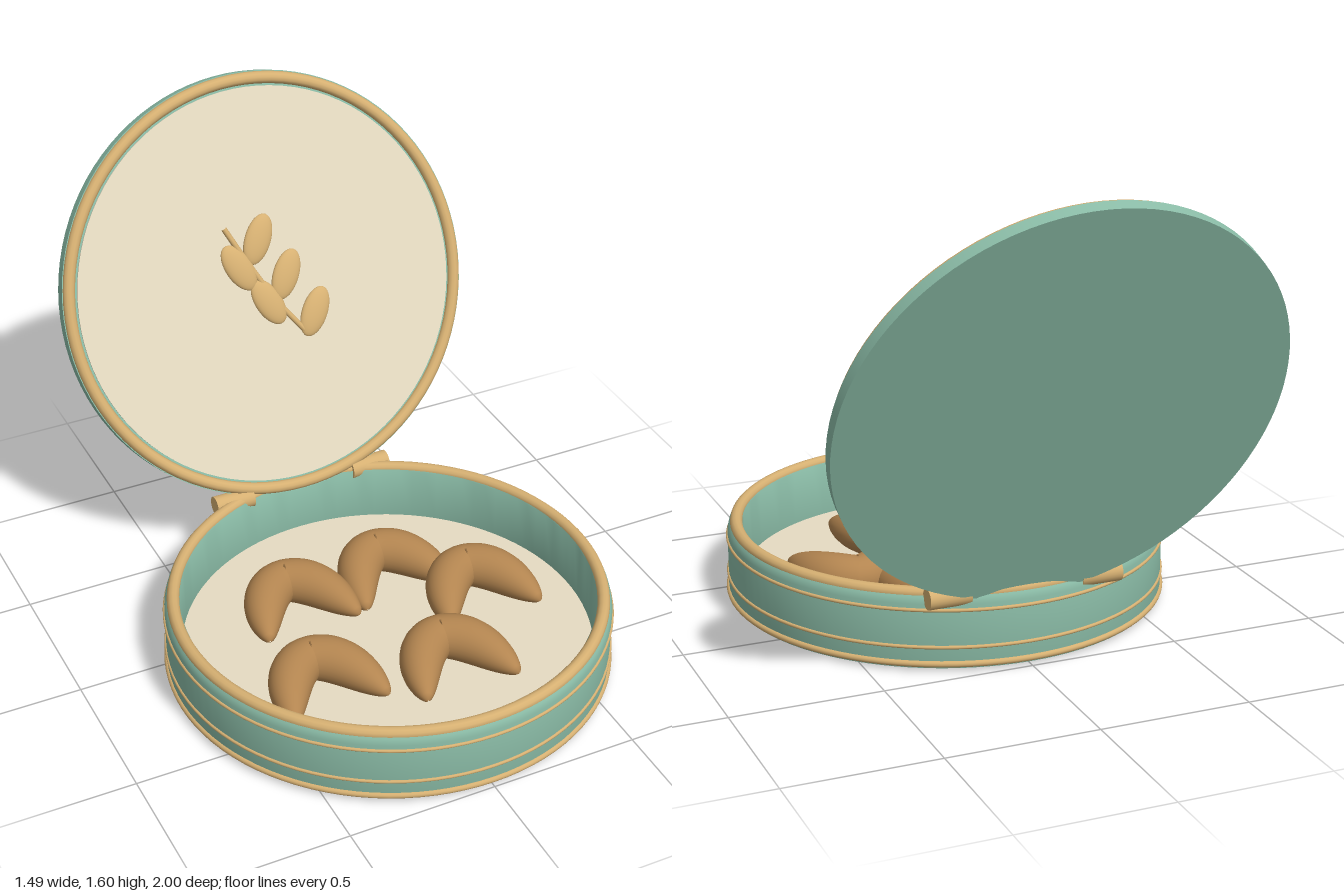
import * as THREE from 'three';
import { toCreasedNormals } from 'three/addons/utils/BufferGeometryUtils.js';
import { ParametricGeometry } from 'three/addons/geometries/ParametricGeometry.js';

const mat = (name, color) => {
  const m = new THREE.MeshStandardMaterial({ color });
  m.name = name;
  return m;
};

export function createModel() {
  const teal = mat('teal', 0x8abba6);
  const gold = mat('gold', 0xd6b072);
  const cream = mat('cream', 0xe6dbc2);
  const brown = mat('brown', 0xb38550);

  const model = new THREE.Group();
  model.name = 'cookieTin';

  const add = (parent, name, geometry, material, x = 0, y = 0, z = 0) => {
    const mesh = new THREE.Mesh(geometry, material);
    mesh.name = name;
    mesh.position.set(x, y, z);
    parent.add(mesh);
    return mesh;
  };

  // Base: hollow wall, cream liner floor, gold rim and bands
  const base = new THREE.Group();
  base.name = 'base';
  base.position.z = 0.252;
  model.add(base);

  const profile = [
    [0.69, 0.008], [0.735, 0.008], [0.738, 0.02], [0.738, 0.225], [0.733, 0.245],
    [0.722, 0.258], [0.69, 0.258], [0.685, 0.25], [0.685, 0.05], [0.69, 0.008],
  ].map(([r, y]) => new THREE.Vector2(r, y));
  add(base, 'wall', toCreasedNormals(new THREE.LatheGeometry(profile, 96), 0.7), teal);
  add(base, 'floor', new THREE.CylinderGeometry(0.688, 0.688, 0.06, 96), cream, 0, 0.03);

  const bands = [
    ['topRim', 0.708, 0.021, 0.252],
    ['upperBand', 0.738, 0.006, 0.205],
    ['lowerBand', 0.738, 0.006, 0.08],
    ['footBand', 0.736, 0.011, 0.023],
  ];
  for (const [name, radius, tube, y] of bands) {
    add(base, name, new THREE.TorusGeometry(radius, tube, 12, 96), gold, 0, y).rotation.x = Math.PI / 2;
  }

  // Hinge barrels
  for (const side of [-1, 1]) {
    add(model, side > 0 ? 'leftHinge' : 'rightHinge',
      new THREE.CylinderGeometry(0.035, 0.035, 0.14, 24), gold, side * 0.26, 0.25, -0.43)
      .rotation.z = Math.PI / 2;
  }

  // Lid, leaning back; its inner face looks along local +z
  const lid = new THREE.Group();
  lid.name = 'lid';
  lid.position.set(0, 0.917, -0.688);
  lid.rotation.x = -THREE.MathUtils.degToRad(22);
  model.add(lid);

  const disc = (r, h) => new THREE.CylinderGeometry(r, r, h, 96).rotateX(Math.PI / 2);
  add(lid, 'lidShell', disc(0.734, 0.042), teal, 0, 0, -0.021);
  add(lid, 'lidLining', disc(0.682, 0.008), cream, 0, 0, 0.001);
  add(lid, 'lidRim', new THREE.TorusGeometry(0.71, 0.021, 12, 96), gold);

  // Leaf sprig on the lid lining: x, y, lean in degrees
  const sprig = new THREE.Group();
  sprig.name = 'leafSprig';
  sprig.position.z = 0.01;
  lid.add(sprig);
  const leaves = [
    [-0.01, 0.165, -28], [-0.095, 0.083, 26], [0.07, 0.025, -28],
    [-0.01, -0.056, 26], [0.152, -0.126, -30],
  ];
  const leafShape = new THREE.SphereGeometry(1, 24, 16).scale(0.048, 0.091, 0.02);
  for (const [x, y, lean] of leaves) {
    add(sprig, 'leaf', leafShape, gold, x, y).rotation.z = THREE.MathUtils.degToRad(lean);
  }
  const stemPath = new THREE.CatmullRomCurve3([
    new THREE.Vector3(-0.125, 0.227, 0), new THREE.Vector3(-0.06, 0.09, 0),
    new THREE.Vector3(0.02, -0.06, 0), new THREE.Vector3(0.11, -0.19, 0),
  ]);
  add(sprig, 'stem', new THREE.TubeGeometry(stemPath, 24, 0.01, 10), gold);

  // Folded cookie: a bent tube whose two lobes swell and then taper
  const cookieShape = new ParametricGeometry((u, v, target) => {
    const t = v * 2 - 1;
    const s = Math.abs(t);
    const sign = t < 0 ? -1 : 1;
    const q = 1 - s;
    const x = 2 * s * q * 0.115 + s * s * 0.165;
    const z = q * q * -0.085 + 2 * s * q * -0.06 + s * s * 0.177;
    const dx = 2 * q * 0.115 + 2 * s * 0.05;
    const dz = sign * (2 * q * 0.025 + 2 * s * 0.237);
    const len = Math.hypot(dx, dz);
    const taper = Math.pow(Math.max(0, 1 - Math.pow(s, 2.5)), 0.7);
    const r = 0.07 * (1 + 0.35 * s) * taper + 0.002;
    const a = u * Math.PI * 2;
    const across = Math.sin(a) * r;
    target.set(sign * x - (dz / len) * across, Math.cos(a) * r - 0.015 * s * s, z + (dx / len) * across);
  }, 28, 56);

  // Cookies on the floor: x, z, turn
  const cookies = [
    [-0.23, 0, 0], [0.125, -0.02, 0.05], [0.36, 0.19, -0.05],
    [-0.325, 0.41, 0], [0.105, 0.495, -0.02],
  ];
  for (const [x, z, turn] of cookies) {
    add(model, 'cookie', cookieShape, brown, x, 0.132, z).rotation.y = turn;
  }

  return model;
}
